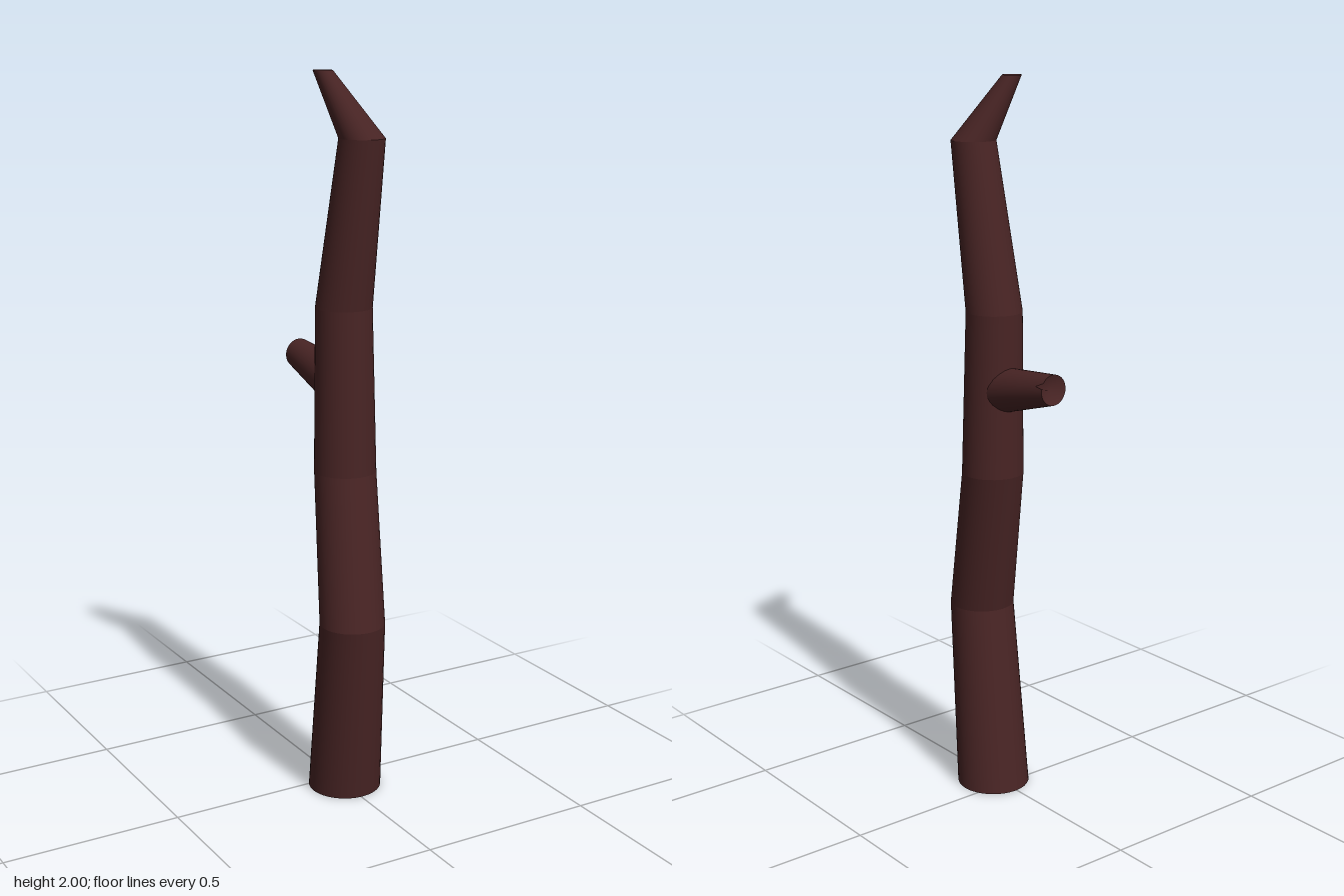
import * as THREE from 'three';
import { mergeGeometries } from 'three/addons/utils/BufferGeometryUtils.js';

const SIDES = 32;
const bark = new THREE.MeshStandardMaterial({ color: 0x482424, roughness: 0.9, side: THREE.DoubleSide });

// Skewed cylinder section between two level rings [x, y, z, radius]
function section(a, b) {
  const g = new THREE.CylinderGeometry(1, 1, 1, SIDES, 1, true);
  const p = g.attributes.position;
  for (let i = 0; i < p.count; i++) {
    const r = p.getY(i) > 0 ? b : a;
    p.setXYZ(i, r[0] + p.getX(i) * r[3], r[1], r[2] + p.getZ(i) * r[3]);
  }
  g.computeVertexNormals();
  // Close the shading seam
  const n = g.attributes.normal;
  for (const row of [0, SIDES + 1]) {
    const v = new THREE.Vector3().fromBufferAttribute(n, row)
      .add(new THREE.Vector3().fromBufferAttribute(n, row + SIDES)).normalize();
    n.setXYZ(row, v.x, v.y, v.z);
    n.setXYZ(row + SIDES, v.x, v.y, v.z);
  }
  return g;
}

// Round end whose middle is moved along the axis by depth
function endCap([x, y, z, r], depth, up) {
  const g = new THREE.CircleGeometry(r, SIDES);
  g.attributes.position.setZ(0, depth);
  g.rotateX(up ? -Math.PI / 2 : Math.PI / 2);
  g.translate(x, y, z);
  g.computeVertexNormals();
  return g;
}

function limb(name, rings, sink) {
  const parts = [];
  for (let i = 0; i < rings.length - 1; i++) parts.push(section(rings[i], rings[i + 1]));
  parts.push(endCap(rings[0], 0, false), endCap(rings.at(-1), -sink, true));
  const mesh = new THREE.Mesh(mergeGeometries(parts), bark);
  mesh.name = name;
  return mesh;
}

export function createModel() {
  const group = new THREE.Group();
  group.name = 'deadTree';

  // Crooked trunk with a broken tip
  group.add(limb('trunk', [
    [0.005, 0, 0.045, 0.102],
    [-0.02, 0.52, 0.128, 0.09],
    [0.006, 0.93, 0.044, 0.085],
    [0.004, 1.38, 0.039, 0.077],
    [0.011, 1.83, 0.118, 0.061],
    [-0.068, 2, 0.054, 0.026],
  ], 0.02));

  // Snapped branch stub: modelled upright, then laid toward the back
  const stub = limb('branchStub', [[0, 0, 0, 0.063], [0, 0.22, 0, 0.041]], 0.02);
  const p = stub.geometry.attributes.position;
  for (let i = 0; i < p.count; i++) {
    // Small split in the rim
    const angle = Math.atan2(p.getZ(i), p.getX(i));
    if (p.getY(i) > 0.21 && Math.abs(angle - 0.4) < 0.15) p.setY(i, 0.195);
    // Slant the end so it stands upright
    else if (p.getY(i) > 0.19) p.setY(i, p.getY(i) + p.getZ(i) * 0.15);
  }
  stub.rotation.x = -Math.PI / 2 + 0.18;
  stub.position.set(0.006, 1.17, 0.003);
  group.add(stub);

  return group;
}
